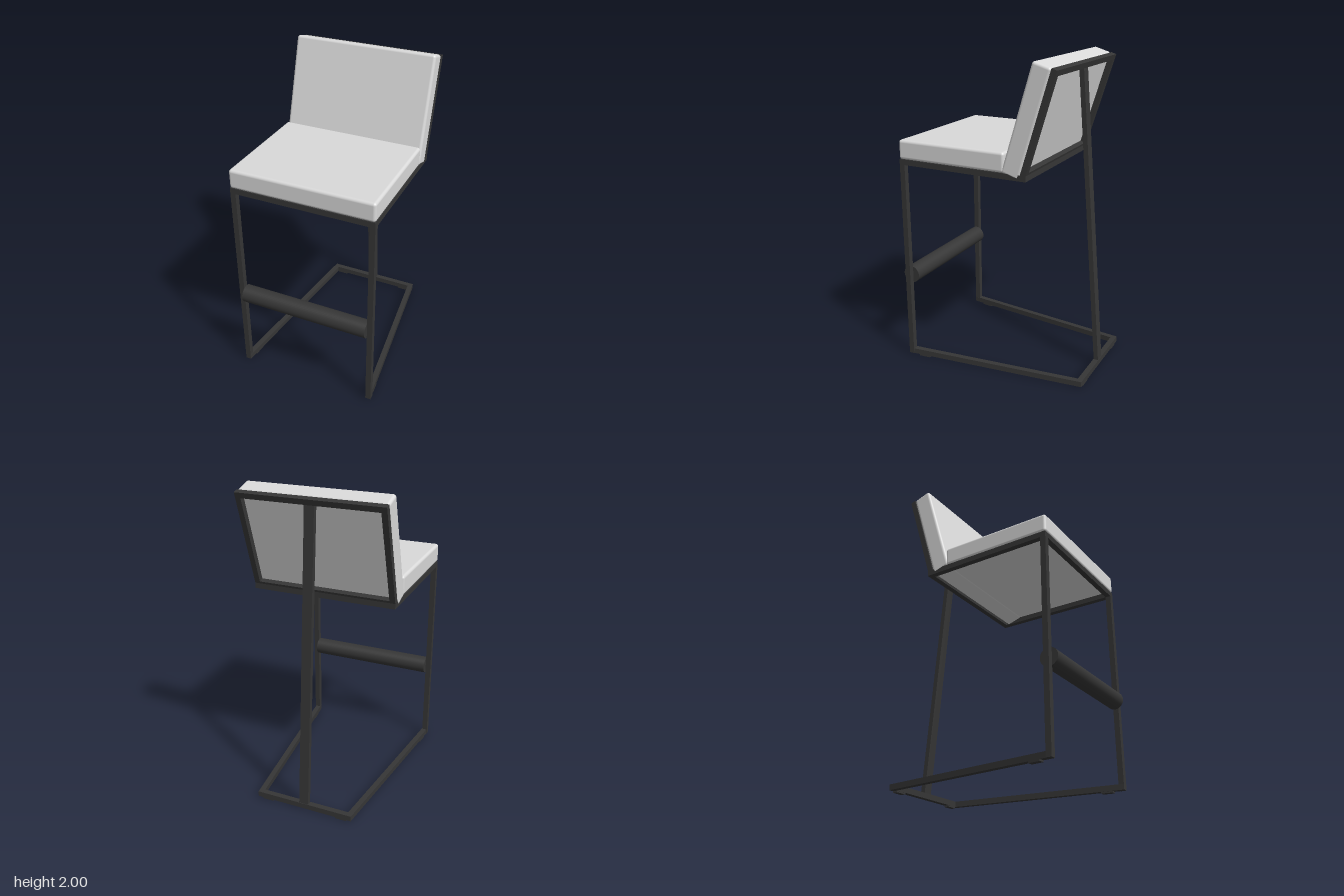
import * as THREE from 'three';
import { RoundedBoxGeometry } from 'three/addons/geometries/RoundedBoxGeometry.js';

const BAR = 0.035; // thickness of the square frame tube
const HALF = 0.46; // half the width of the stool

export function createModel() {
  const frame = new THREE.MeshStandardMaterial({ color: 0x363636 });
  frame.name = 'charcoal metal';
  const fabric = new THREE.MeshStandardMaterial({ color: 0xdadada });
  fabric.name = 'light grey upholstery';

  const model = new THREE.Group();
  model.name = 'barStool';

  const add = (name, geometry, material, x = 0, y = 0, z = 0, parent = model) => {
    const mesh = new THREE.Mesh(geometry, material);
    mesh.name = name;
    mesh.position.set(x, y, z);
    parent.add(mesh);
    return mesh;
  };
  const polygon = (points) => new THREE.Shape(points.map(([x, y]) => new THREE.Vector2(x, y)));
  const extrude = (shape) => new THREE.ExtrudeGeometry(shape, { depth: BAR, bevelEnabled: false });

  // Rectangular tube frame, lying in xy and one tube deep
  const rectFrame = (y0, y1) => {
    const rect = (inset) => [
      [-HALF + inset, y0 + inset], [HALF - inset, y0 + inset],
      [HALF - inset, y1 - inset], [-HALF + inset, y1 - inset],
    ];
    const shape = polygon(rect(0));
    shape.holes.push(polygon(rect(BAR)));
    return extrude(shape);
  };

  // Seat
  add('seatFrame', rectFrame(-0.58, 0.29).rotateX(-Math.PI / 2), frame, 0, 1.325, 0);
  add('seatCushion', new RoundedBoxGeometry(0.922, 0.122, 0.732, 4, 0.018), fabric, 0, 1.42, 0.217);

  // Leaning backrest
  const backrest = new THREE.Group();
  backrest.name = 'backrest';
  backrest.position.set(0, 1.34, -0.284);
  backrest.rotation.x = -0.297;
  model.add(backrest);
  add('backFrame', rectFrame(0, 0.65), frame, 0, 0, 0, backrest);
  add('backCushion', new RoundedBoxGeometry(0.922, 0.676, 0.121, 4, 0.018), fabric, 0, 0.312, 0.095, backrest);

  // Open floor base, tapering towards the back
  const base = polygon([
    [HALF, -0.58], [0.325, 0.615], [-0.325, 0.615], [-HALF, -0.58],
    [-HALF + BAR, -0.58], [-0.325 + BAR - 0.004, 0.58], [0.325 - BAR + 0.004, 0.58], [HALF - BAR, -0.58],
  ]);
  add('floorBase', extrude(base).rotateX(-Math.PI / 2), frame, 0, 0.01, 0);

  // Front legs and foot pads
  for (const [side, s] of [['left', 1], ['right', -1]]) {
    add(side + 'FrontLeg', new THREE.BoxGeometry(BAR, 1.33, BAR), frame, s * (HALF - BAR / 2), 0.675, 0.5625);
    const pad = add(side + 'FrontPad', new THREE.BoxGeometry(0.033, 0.012, 0.075), frame, s * 0.431, 0.006, 0.47);
    pad.rotation.y = s * 0.113;
    add(side + 'BackPad', new THREE.BoxGeometry(0.075, 0.012, 0.033), frame, s * 0.255, 0.006, -0.597);
  }

  // Round footrest between the front legs
  add('footrest', new THREE.CylinderGeometry(0.057, 0.057, 0.845, 40).rotateZ(Math.PI / 2), frame, 0, 0.575, 0.56);

  // Slanted post from the base up to the top of the backrest
  const foot = new THREE.Vector3(0, 0.02, -0.599);
  const head = new THREE.Vector3(0, 1.93, -0.438);
  const span = head.clone().sub(foot);
  const post = add('backPost', new THREE.BoxGeometry(0.062, span.length(), 0.03), frame);
  post.position.copy(foot).addScaledVector(span, 0.5);
  post.rotation.x = Math.atan2(span.z, span.y);

  return model;
}
